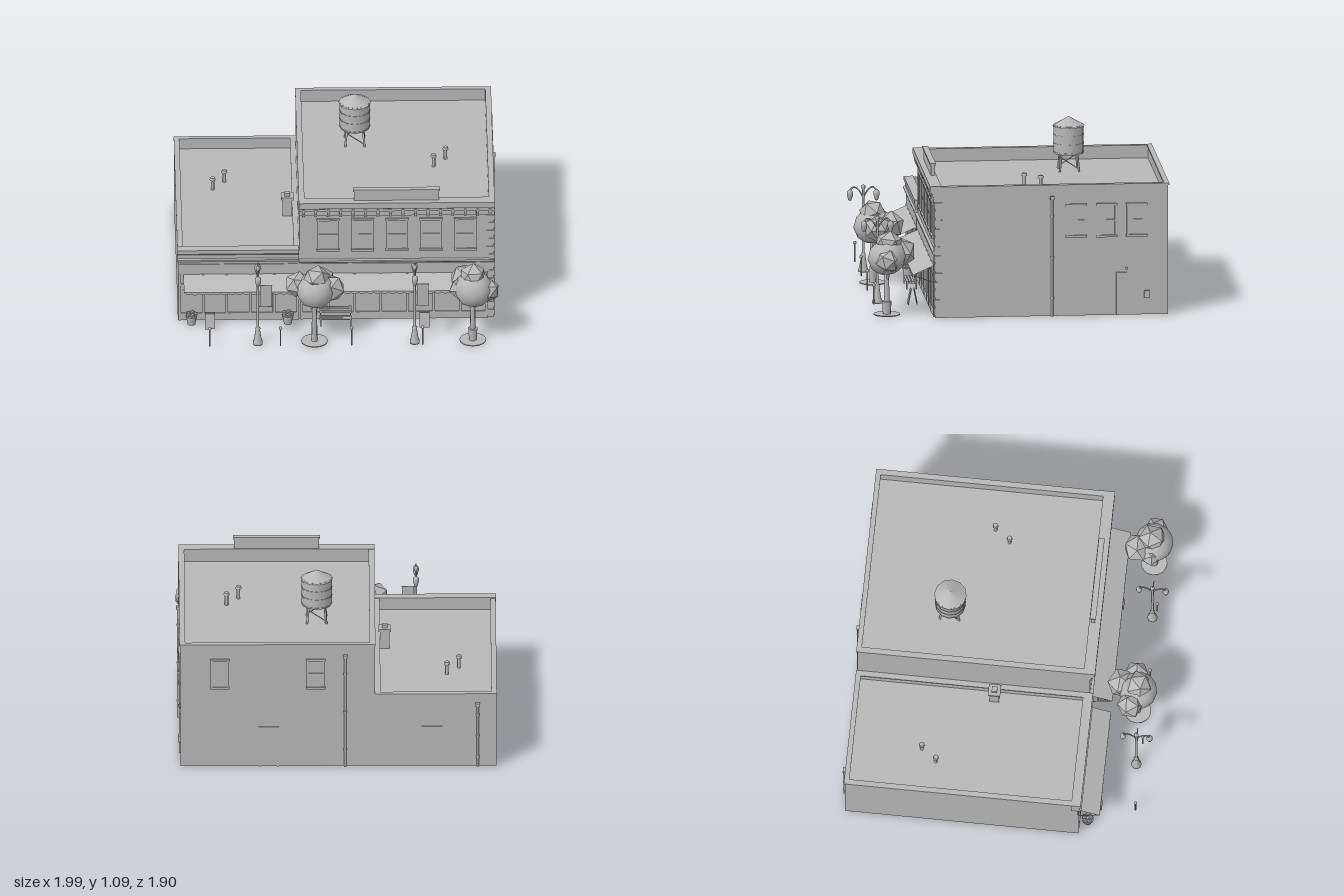
import * as THREE from 'three';

const stone = new THREE.MeshStandardMaterial({ color: 0xb8b8b8 });
stone.name = 'plain grey';
const cloth = new THREE.MeshStandardMaterial({ color: 0xb8b8b8, side: THREE.DoubleSide });
cloth.name = 'plain grey cloth';

export function createModel() {
  const root = new THREE.Group();
  root.name = 'shopBlock';

  const add = (name, geo, x = 0, y = 0, z = 0, parent = root, mat = stone) => {
    const m = new THREE.Mesh(geo, mat);
    m.name = name;
    m.position.set(x, y, z);
    parent.add(m);
    return m;
  };
  // box given by its limits
  const box = (name, x0, x1, y0, y1, z0, z1, parent = root) =>
    add(name, new THREE.BoxGeometry(x1 - x0, y1 - y0, z1 - z0), (x0 + x1) / 2, (y0 + y1) / 2, (z0 + z1) / 2, parent);
  // upright cylinder standing on y0
  const cyl = (name, x, z, y0, y1, rb, rt = rb, n = 8, parent = root) =>
    add(name, new THREE.CylinderGeometry(rt, rb, y1 - y0, n), x, (y0 + y1) / 2, z, parent);
  const rod = (name, a, b, r, parent = root) =>
    add(name, new THREE.TubeGeometry(new THREE.LineCurve3(new THREE.Vector3(...a), new THREE.Vector3(...b)), 1, r, 6), 0, 0, 0, parent);
  const group = (name, x, y, z, ry = 0) => {
    const g = new THREE.Group();
    g.name = name;
    g.position.set(x, y, z);
    g.rotation.y = ry;
    root.add(g);
    return g;
  };
  // profile in (z, y) drawn out along x
  const moulding = (name, x0, x1, pts) => {
    const s = new THREE.Shape(pts.map(([z, y]) => new THREE.Vector2(-z, y)));
    const g = new THREE.ExtrudeGeometry(s, { depth: x1 - x0, bevelEnabled: false });
    g.rotateY(Math.PI / 2);
    return add(name, g, x0, 0, 0);
  };

  // building bodies with parapets round sunken roofs
  const building = (name, x0, x1, roof, top, t) => {
    box(name + 'Body', x0, x1, 0, roof, -0.925, 0.53);
    box(name + 'ParapetBack', x0, x1, roof, top, -0.925, -0.905);
    box(name + 'ParapetFront', x0, x1, roof, top, 0.49, 0.53);
    box(name + 'ParapetLeft', x1 - t, x1, roof, top, -0.905, 0.49);
    box(name + 'ParapetRight', x0, x0 + t, roof, top, -0.905, 0.49);
  };
  building('low', -0.995, -0.24, 0.42, 0.485, 0.028);
  building('tall', -0.24, 0.97, 0.75, 0.82, 0.03);

  // copings
  const coping = (name, x0, x1, y, t) => {
    box(name, x0, x1, y, y + 0.012, -0.932, -0.9);
    for (const x of [x0, x1 - t]) box(name, x, x + t, y, y + 0.012, -0.9, 0.5);
  };
  coping('lowCoping', -0.998, -0.241, 0.482, 0.034);
  coping('tallCoping', -0.243, 0.976, 0.82, 0.036);

  // front cornices
  moulding('tallCornice', -0.243, 0.976, [[0.49, 0.835], [0.562, 0.835], [0.562, 0.795], [0.55, 0.788],
    [0.55, 0.77], [0.54, 0.765], [0.54, 0.735], [0.49, 0.735]]);
  moulding('lowCornice', -1, -0.243, [[0.49, 0.5], [0.55, 0.5], [0.55, 0.475], [0.542, 0.465],
    [0.542, 0.44], [0.555, 0.435], [0.55, 0.418], [0.536, 0.412], [0.49, 0.412]]);
  moulding('middleCornice', -0.243, 0.972, [[0.52, 0.425], [0.548, 0.42], [0.548, 0.408], [0.536, 0.4], [0.52, 0.4]]);
  for (let i = 0; i < 16; i++) {
    const x = -0.215 + i * 0.0775;
    moulding('corniceBracket', x - 0.009, x + 0.009, [[0.53, 0.785], [0.557, 0.785], [0.555, 0.76], [0.538, 0.725], [0.53, 0.725]]);
  }
  box('roofSignPanel', 0.1, 0.63, 0.82, 0.9, 0.5, 0.526);
  box('roofSignCap', 0.095, 0.635, 0.9, 0.912, 0.495, 0.532);

  // corner blocks
  for (let i = 0; i < 13; i++) {
    const w = i % 2 ? 0.03 : 0.045;
    box('cornerBlock', 0.97 - w, 0.977, 0.02 + i * 0.056, 0.06 + i * 0.056, 0.53 - w, 0.537);
  }

  // sash windows, facing +z before turning
  const sash = (x, y, z, ry, w, h) => {
    const g = group('sashWindow', x, y, z, ry);
    box('glass', -w / 2, w / 2, 0, h, -0.002, 0.003, g);
    for (const s of [-1, 1]) box('jamb', s * w / 2 - 0.006, s * w / 2 + 0.006, 0, h, 0, 0.009, g);
    box('meetingRail', -w / 2, w / 2, h * 0.5 - 0.005, h * 0.5 + 0.005, 0, 0.008, g);
    box('sill', -w / 2 - 0.009, w / 2 + 0.009, -0.012, 0.002, 0, 0.014, g);
    box('lintel', -w / 2 - 0.009, w / 2 + 0.009, h - 0.002, h + 0.012, 0, 0.012, g);
  };
  for (let i = 0; i < 5; i++) sash(-0.06 + i * 0.2135, 0.495, 0.53, 0, 0.125, 0.205);
  for (const z of [-0.35, -0.54, -0.73]) sash(0.97, 0.508, z, Math.PI / 2, 0.115, 0.19);
  for (const x of [0.128, 0.725]) sash(x, 0.54, -0.925, Math.PI, 0.105, 0.18);

  // doors
  const door = (x, z, ry) => {
    const g = group('door', x, 0, z, ry);
    box('doorLeaf', -0.055, 0.055, 0, 0.26, -0.002, 0.003, g);
    for (const s of [-1, 1]) box('doorJamb', s * 0.058 - 0.006, s * 0.058 + 0.006, 0, 0.27, 0, 0.008, g);
    box('doorHead', -0.064, 0.064, 0.258, 0.27, 0, 0.008, g);
  };
  door(-0.595, -0.925, Math.PI);
  door(0.42, -0.925, Math.PI);
  door(0.97, -0.665, Math.PI / 2);
  box('meterBox', 0.965, 0.985, 0.108, 0.152, -0.81, -0.775);
  box('doorLamp', 0.965, 0.985, 0.288, 0.302, -0.672, -0.658);

  // downspouts with rain heads
  for (const [x, z, h] of [[0.98, -0.2, 0.74], [-0.055, -0.937, 0.74], [-0.88, -0.937, 0.41]]) {
    cyl('downspout', x, z, 0, h, 0.008);
    box('rainHead', x - 0.014, x + 0.014, h, h + 0.022, z - 0.012, z + 0.012);
    for (const f of [0.15, 0.5, 0.85]) cyl('pipeStrap', x, z, h * f, h * f + 0.012, 0.011);
  }

  // shop fronts: posts, panes, stall riser and sign board
  const shopfront = (x0, x1, n) => {
    const w = (x1 - x0) / n;
    box('stallRiser', x0, x1, 0, 0.05, 0.528, 0.537);
    box('transom', x0, x1, 0.245, 0.258, 0.528, 0.537);
    box('signBoard', x0, x1, 0.325, 0.395, 0.528, 0.536);
    for (let i = 0; i <= n; i++) box('shopPost', x0 + i * w - 0.008, x0 + i * w + 0.008, 0, 0.325, 0.528, 0.539);
  };
  shopfront(-0.985, -0.25, 5);
  shopfront(-0.225, 0.925, 7);

  // awnings with scalloped edge and stays
  const awning = (x0, x1) => {
    const w = x1 - x0;
    const slope = new THREE.PlaneGeometry(w, Math.hypot(0.135, 0.06));
    slope.rotateX(-Math.PI / 2 + Math.atan2(0.06, 0.135));
    add('awning', slope, (x0 + x1) / 2, 0.295, 0.5975, root, cloth);
    const n = Math.round(w / 0.046), s = new THREE.Shape();
    s.moveTo(0, 0.266);
    for (let i = 0; i < n; i++) s.quadraticCurveTo((i + 0.5) * w / n, 0.236, (i + 1) * w / n, 0.256);
    s.lineTo(w, 0.266);
    add('awningValance', new THREE.ShapeGeometry(s, 3), x0, 0, 0.665, root, cloth);
    for (const x of [x0 + 0.004, x1 - 0.004]) rod('awningStay', [x, 0.262, 0.662], [x, 0.215, 0.53], 0.003);
  };
  awning(-0.96, -0.27);
  awning(-0.2, 0.925);

  // water tank on legs
  const tank = group('waterTank', 0.12, 0, -0.38);
  cyl('tankBarrel', 0, 0, 0.86, 1.04, 0.094, 0.094, 12, tank);
  cyl('tankRoof', 0, 0, 1.035, 1.092, 0.101, 0, 12, tank);
  for (const y of [0.865, 0.92, 0.975, 1.025]) cyl('tankHoop', 0, 0, y, y + 0.006, 0.097, 0.097, 12, tank);
  for (const a of [1, 3, 5, 7].map(k => k * Math.PI / 4)) {
    const c = Math.cos(a), s = Math.sin(a);
    rod('tankLeg', [c * 0.085, 0.75, s * 0.085], [c * 0.07, 0.865, s * 0.07], 0.007, tank);
    rod('tankBrace', [c * 0.083, 0.765, s * 0.083], [-s * 0.073, 0.84, c * 0.073], 0.003, tank);
  }

  // roof vents and chimney
  for (const [x, z, y] of [[-0.69, -0.475, 0.42], [-0.765, -0.38, 0.42], [0.68, -0.155, 0.75], [0.605, -0.06, 0.75]]) {
    cyl('ventPipe', x, z, y, y + 0.07, 0.011);
    cyl('ventCap', x, z, y + 0.068, y + 0.085, 0.019, 0.015);
  }
  box('chimney', -0.335, -0.275, 0.42, 0.54, -0.09, -0.03);
  box('chimneyCap', -0.343, -0.267, 0.537, 0.553, -0.098, -0.022);
  box('chimneyPot', -0.322, -0.288, 0.553, 0.573, -0.077, -0.043);

  // street trees: faceted leaf clumps as x, y, z, radius
  const tree = (x, z, clumps) => {
    const g = group('tree', x, 0, z);
    cyl('treeGrate', 0, 0, 0, 0.006, 0.083, 0.083, 16, g);
    cyl('treeTrunk', 0, 0, 0, 0.3, 0.02, 0.014, 7, g);
    rod('branch', [0, 0.2, 0], [-0.06, 0.32, -0.03], 0.008, g);
    rod('branch', [0, 0.21, 0], [0.06, 0.32, -0.02], 0.008, g);
    clumps.forEach(([cx, cy, cz, r], i) => {
      const m = add('leafClump', new THREE.IcosahedronGeometry(r, i ? 0 : 1), cx, cy, cz, g);
      m.rotation.set(i * 1.3 + 0.4, i * 2.1 + 0.5, i * 0.7);
      m.scale.y = 0.93;
    });
  };
  tree(-0.15, 0.82, [[0.005, 0.365, 0, 0.122], [-0.105, 0.385, -0.04, 0.085], [0.105, 0.365, -0.02, 0.09],
    [0.04, 0.37, -0.1, 0.098], [0.01, 0.445, 0, 0.09]]);
  tree(0.835, 0.82, [[0.005, 0.365, 0, 0.122], [0.095, 0.355, 0.005, 0.078], [-0.05, 0.385, -0.1, 0.095],
    [0, 0.445, -0.01, 0.09], [-0.07, 0.36, -0.02, 0.08]]);
  cyl('treePot', 0.835, 0.82, 0, 0.085, 0.024, 0.03, 10);

  // street lamps with two hanging lanterns and a banner
  const lampProfile = [[0, 0], [0.032, 0], [0.032, 0.015], [0.025, 0.03], [0.014, 0.1], [0.017, 0.11], [0.009, 0.12],
    [0.007, 0.52], [0.013, 0.53], [0.013, 0.545], [0, 0.555]].map(p => new THREE.Vector2(...p));
  const lantern = [[0, 0.45], [0.01, 0.455], [0.02, 0.49], [0.018, 0.51], [0.006, 0.52], [0, 0.525]].map(p => new THREE.Vector2(...p));
  for (const x of [-0.503, 0.473]) {
    const g = group('streetLamp', x, 0, 0.847);
    add('lampPost', new THREE.LatheGeometry(lampProfile, 10), 0, 0, 0, g);
    for (const s of [-1, 1]) {
      const arm = new THREE.CatmullRomCurve3([[0, 0.47, 0], [0, 0.52, s * 0.03], [0, 0.538, s * 0.06], [0, 0.518, s * 0.083]]
        .map(p => new THREE.Vector3(...p)));
      add('lampArm', new THREE.TubeGeometry(arm, 10, 0.005, 6), 0, 0, 0, g);
      add('lantern', new THREE.LatheGeometry(lantern, 10), 0, 0, s * 0.083, g);
    }
    for (const y of [0.265, 0.415]) rod('bannerRod', [0, y, 0], [0.09, y, 0], 0.003, g);
    box('banner', 0.013, 0.087, 0.265, 0.415, -0.002, 0.002, g);
  }

  // parking meters
  for (const x of [-0.803, -0.362, 0.08, 0.522]) {
    cyl('meterPost', x, 0.873, 0, 0.115, 0.005, 0.005, 6);
    add('meterHead', new THREE.SphereGeometry(0.011, 8, 6), x, 0.123, 0.873);
  }

  // bench
  const bench = group('bench', -0.015, 0, 0.6);
  for (let i = 0; i < 3; i++) {
    box('seatSlat', -0.1, 0.1, 0.045, 0.052, -0.02 + i * 0.018, -0.006 + i * 0.018, bench);
    box('backSlat', -0.1, 0.1, 0.064 + i * 0.017, 0.077 + i * 0.017, -0.031, -0.025, bench);
  }
  for (const x of [-0.097, 0.089]) {
    box('benchBackLeg', x, x + 0.008, 0, 0.112, -0.036, -0.029, bench);
    box('benchFrontLeg', x, x + 0.008, 0, 0.045, 0.022, 0.03, bench);
    box('benchRail', x, x + 0.008, 0.038, 0.045, -0.03, 0.03, bench);
  }

  // planters
  for (const x of [-0.912, -0.312]) {
    cyl('planter', x, 0.585, 0, 0.055, 0.025, 0.034, 10);
    cyl('planterRim', x, 0.585, 0.048, 0.058, 0.037, 0.037, 10);
    for (let i = 0; i < 5; i++)
      add('plantLeaves', new THREE.IcosahedronGeometry(0.017, 0), x + Math.cos(i * 1.257) * 0.024, 0.069, 0.585 + Math.sin(i * 1.257) * 0.022);
  }

  // folding pavement boards
  for (const x of [-0.798, 0.538]) {
    for (const s of [-1, 1]) {
      const m = box('pavementBoard', x - 0.031, x + 0.031, 0.003, 0.103, 0.633 + s * 0.019 - 0.003, 0.633 + s * 0.019 + 0.003);
      m.rotation.x = -s * 0.19;
    }
  }
  return root;
}
